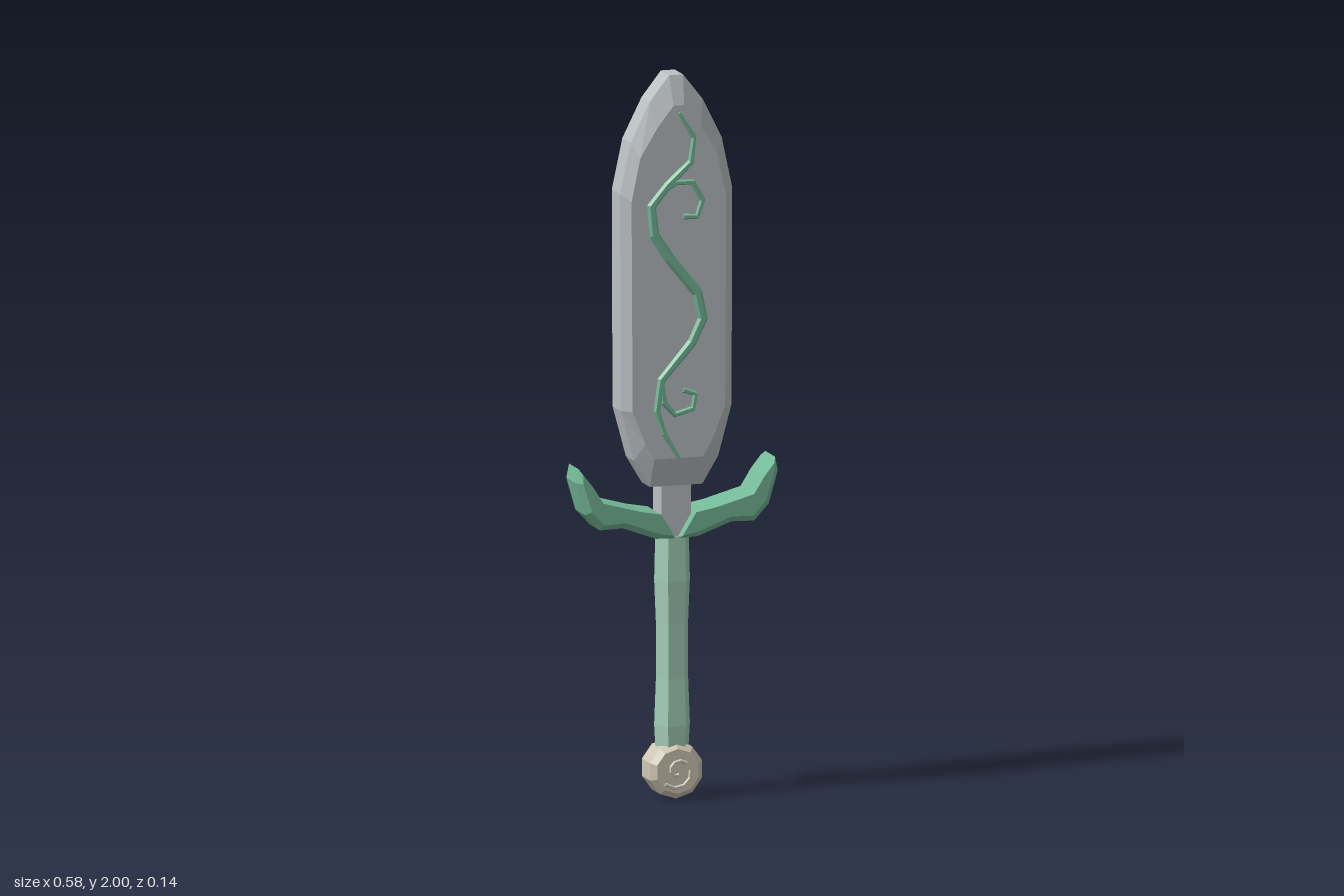
import * as THREE from 'three';

const mat = (name, color) => {
  const m = new THREE.MeshStandardMaterial({ color });
  m.name = name;
  return m;
};

const flat = (geo) => {
  const g = geo.index ? geo.toNonIndexed() : geo;
  g.computeVertexNormals();
  return g;
};

const fromTriangles = (pos) => {
  const g = new THREE.BufferGeometry();
  g.setAttribute('position', new THREE.Float32BufferAttribute(pos, 3));
  return flat(g);
};

// Joins matching counter-clockwise outlines, ordered from back to front, and caps both ends
function loft(rings) {
  const pos = [];
  const tri = (a, b, c) => pos.push(...a, ...b, ...c);
  const pts = rings.map(([outline, z]) => outline.map(([x, y]) => [x, y, z]));
  const n = pts[0].length;
  for (let k = 0; k < pts.length - 1; k++) {
    for (let i = 0; i < n; i++) {
      const j = (i + 1) % n;
      tri(pts[k][i], pts[k][j], pts[k + 1][j]);
      tri(pts[k][i], pts[k + 1][j], pts[k + 1][i]);
    }
  }
  const cap = THREE.ShapeUtils.triangulateShape(rings[0][0].map(([x, y]) => new THREE.Vector2(x, y)), []);
  const last = pts[pts.length - 1];
  for (const [a, b, c] of cap) {
    tri(last[a], last[b], last[c]);
    tri(pts[0][c], pts[0][b], pts[0][a]);
  }
  return fromTriangles(pos);
}

// Slab whose rim is bevelled from the outer outline to the inner one
const bevelSlab = (outer, inner, zRim, zFace) =>
  loft([[inner, -zFace], [outer, -zRim], [outer, zRim], [inner, zFace]]);

// Raised bevelled strip along a path; side is +1 on the front, -1 on the back
function ridge(path, widthAt, zBase, zTop, side) {
  const pos = [];
  const last = path.length - 1;
  const rows = path.map(([x, y], i) => {
    const p = path[Math.max(i - 1, 0)], q = path[Math.min(i + 1, last)];
    const dx = q[0] - p[0], dy = q[1] - p[1], len = Math.hypot(dx, dy);
    const w = widthAt(i / last);
    return [[1, zBase], [0.45, zTop], [-0.45, zTop], [-1, zBase]].map(([s, z]) =>
      [x - (dy / len) * w * s, y + (dx / len) * w * s, z * side]);
  });
  const quad = (a, b, c, d) => {
    const [p, q, r, s] = side > 0 ? [a, b, c, d] : [d, c, b, a];
    pos.push(...p, ...q, ...r, ...p, ...r, ...s);
  };
  for (let i = 0; i < last; i++)
    for (let k = 0; k < 3; k++) quad(rows[i][k], rows[i][k + 1], rows[i + 1][k + 1], rows[i + 1][k]);
  quad(rows[0][3], rows[0][2], rows[0][1], rows[0][0]);
  quad(...rows[last]);
  return fromTriangles(pos);
}

const mirrorX = (pts) => pts.map(([x, y]) => [-x, y]).reverse();
const symmetric = (half) => [...half, ...mirrorX(half)];

export function createModel() {
  const group = new THREE.Group();
  const steel = mat('steel', 0xbcc1c4);
  const leafGreen = mat('leaf green', 0x76bb99);
  const paleGreen = mat('pale green', 0xa3cfb8);
  const bone = mat('bone', 0xcfc8b5);
  const add = (name, geo, material, parent = group) => {
    const mesh = new THREE.Mesh(geo, material);
    mesh.name = name;
    parent.add(mesh);
    return mesh;
  };

  // Blade with broad bevels and its narrow tang
  const bladeEdge = symmetric([[0.075, 0.865], [0.12, 0.94], [0.158, 1.08], [0.16, 1.68], [0.13, 1.82], [0.075, 1.93], [0.02, 2.0]]);
  const bladeFace = symmetric([[0.07, 0.945], [0.095, 0.99], [0.132, 1.08], [0.135, 1.66], [0.11, 1.78], [0.062, 1.86], [0.015, 1.92]]);
  add('blade', bevelSlab(bladeEdge, bladeFace, 0.036, 0.06), steel);
  const tang = [[0, 0.715], [0.042, 0.785], [0.042, 0.9], [-0.042, 0.9], [-0.042, 0.785]];
  add('tang', loft([[tang, -0.036], [tang, 0.036]]), steel);

  // Leaf-shaped guard wings, bevelled along the lower edge
  const wingEdge = [[0.008, 0.72], [0.06, 0.722], [0.155, 0.757], [0.22, 0.755], [0.262, 0.8], [0.288, 0.89], [0.28, 0.928],
    [0.245, 0.88], [0.215, 0.832], [0.11, 0.803], [0.05, 0.792]];
  const wingFace = [[0.012, 0.73], [0.056, 0.738], [0.15, 0.774], [0.212, 0.772], [0.247, 0.81], [0.272, 0.888], [0.273, 0.915],
    [0.245, 0.88], [0.215, 0.832], [0.11, 0.803], [0.05, 0.792]];
  add('leftGuardWing', bevelSlab(wingEdge, wingFace, 0.042, 0.06), leafGreen);
  add('rightGuardWing', bevelSlab(mirrorX(wingEdge), mirrorX(wingFace), 0.042, 0.06), leafGreen);

  // Six-sided grip, slightly uneven along its length
  const gripProfile = [[0, 0.13], [0.047, 0.13], [0.051, 0.2], [0.046, 0.33], [0.046, 0.48], [0.051, 0.6], [0.048, 0.725], [0, 0.725]];
  const grip = new THREE.LatheGeometry(gripProfile.map(([r, y]) => new THREE.Vector2(r, y)), 6, Math.PI / 6);
  add('grip', flat(grip), paleGreen);

  // Faceted pommel disc
  const disc = (r) => Array.from({ length: 10 }, (_, i) => {
    const a = ((i + 0.5) / 10) * Math.PI * 2;
    return [r * Math.cos(a), 0.077 + r * Math.sin(a)];
  });
  add('pommel', bevelSlab(disc(0.078), disc(0.062), 0.036, 0.052), bone);

  // Raised ornaments on both faces
  const vine = [[0, 1.9], [0.043, 1.83], [0.034, 1.762], [-0.032, 1.7], [-0.078, 1.645], [-0.07, 1.565], [-0.028, 1.5],
    [0.052, 1.4], [0.068, 1.327], [0.037, 1.262], [-0.05, 1.163], [-0.063, 1.078], [-0.042, 1.015], [0, 0.945]];
  const upperCurl = [[-0.04, 1.69], [-0.005, 1.708], [0.038, 1.706], [0.067, 1.655], [0.052, 1.61], [0.012, 1.612]];
  const lowerCurl = [[-0.052, 1.16], [-0.042, 1.1], [-0.012, 1.066], [0.04, 1.08], [0.047, 1.12], [0.012, 1.133]];
  const spiral = Array.from({ length: 13 }, (_, i) => {
    const a = -2.4 + i * 0.62, r = 0.05 - i * 0.0034;
    return [r * Math.cos(a), 0.077 + r * Math.sin(a)];
  });
  const vineWidth = (t) => 0.005 + 0.011 * Math.sin(Math.PI * t);
  const curlWidth = () => 0.009;
  for (const [label, side] of [['front', 1], ['back', -1]]) {
    const ornament = new THREE.Group();
    ornament.name = label + 'Ornament';
    group.add(ornament);
    add('vine', ridge(vine, vineWidth, 0.059, 0.069, side), leafGreen, ornament);
    add('upperCurl', ridge(upperCurl, curlWidth, 0.059, 0.067, side), leafGreen, ornament);
    add('lowerCurl', ridge(lowerCurl, curlWidth, 0.059, 0.067, side), leafGreen, ornament);
    add('pommelSpiral', ridge(spiral, () => 0.006, 0.051, 0.058, side), bone, ornament);
  }
  return group;
}
